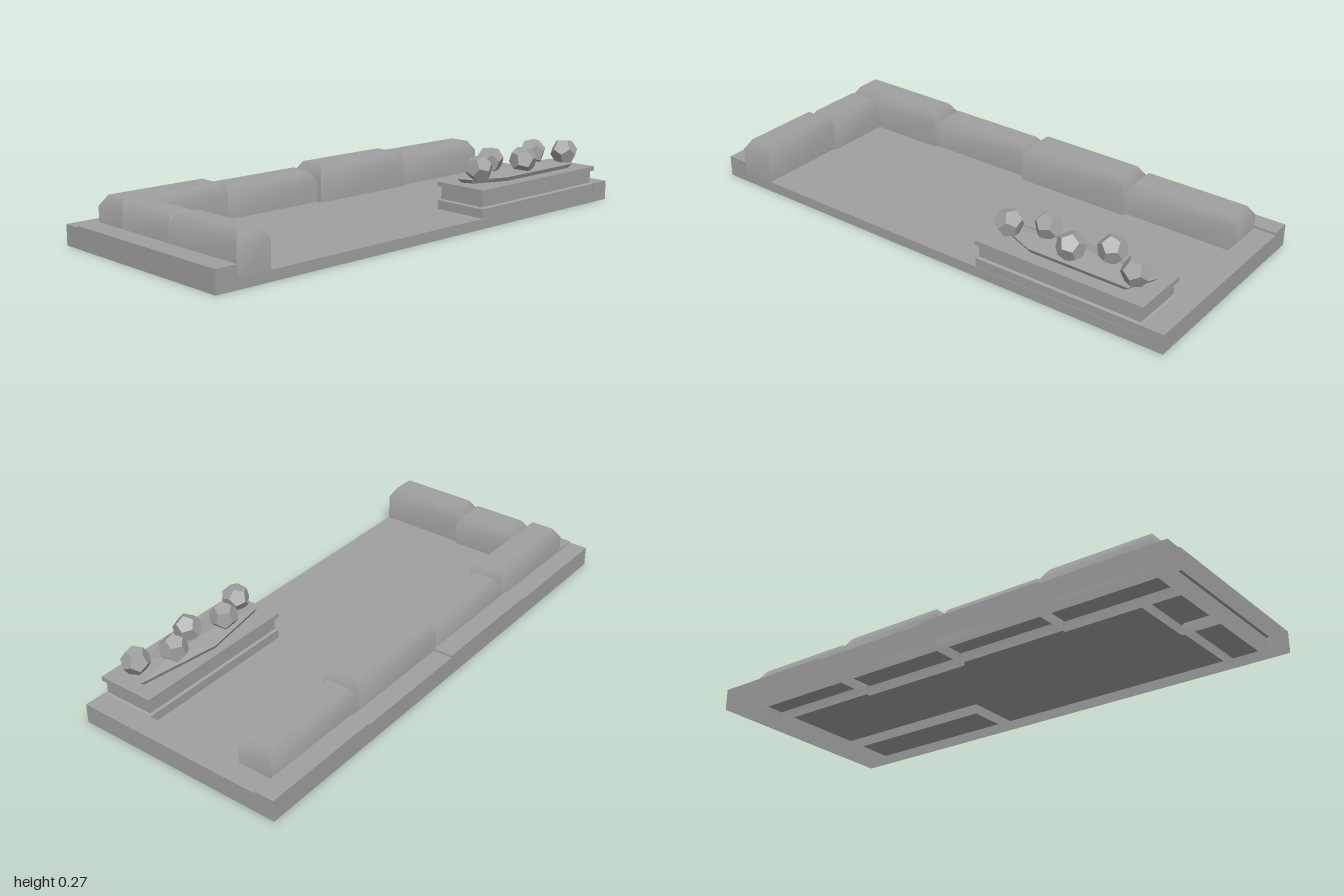
import * as THREE from 'three';
import { toCreasedNormals } from 'three/addons/utils/BufferGeometryUtils.js';
import { ConvexGeometry } from 'three/addons/geometries/ConvexGeometry.js';

const stone = new THREE.MeshStandardMaterial({ color: 0xa0a0a0, side: THREE.DoubleSide });
stone.name = 'grey stone';

// Stacked rectangular rings, open below and capped on top; profile = [y, inset]
function shell([x0, x1, z0, z1], profile) {
  const pos = [], index = [];
  for (const [y, i] of profile) {
    pos.push(x0 + i, y, z1 - i, x1 - i, y, z1 - i, x1 - i, y, z0 + i, x0 + i, y, z0 + i);
  }
  for (let r = 0; r < profile.length - 1; r++) {
    for (let k = 0; k < 4; k++) {
      const a = r * 4 + k, b = r * 4 + (k + 1) % 4;
      index.push(a, b, b + 4, a, b + 4, a + 4);
    }
  }
  const t = (profile.length - 1) * 4;
  index.push(t, t + 1, t + 2, t, t + 2, t + 3);
  const g = new THREE.BufferGeometry();
  g.setAttribute('position', new THREE.Float32BufferAttribute(pos, 3));
  g.setIndex(index);
  return toCreasedNormals(g, 0.7);
}

export function createModel() {
  const model = new THREE.Group();
  const add = (name, geometry, parent = model) => {
    const mesh = new THREE.Mesh(geometry, stone);
    mesh.name = name;
    parent.add(mesh);
    return mesh;
  };

  // Thin floor and low front wall, hollow underneath
  const floor = add('floor', new THREE.PlaneGeometry(1.83, 0.77).rotateX(-Math.PI / 2));
  floor.position.set(0, 0.04, 0.04);
  add('frontWall', new THREE.PlaneGeometry(2, 0.04)).position.set(0, 0.02, 0.425);

  // Outer rim, with slightly uneven back slabs
  add('leftRim', shell([0.915, 1, -0.348, 0.425], [[0, 0], [0.076, 0]]));
  add('rightRim', shell([-1, -0.915, -0.348, 0.425], [[0, 0], [0.084, 0]]));
  [0.078, 0.085, 0.077, 0.085].forEach((h, i) => {
    add('backRim', shell([-1 + i * 0.5, -0.5 + i * 0.5, -0.425, -0.348], [[0, 0], [h, 0]]));
  });

  // Bevelled wall blocks: bounds and top height
  const blocks = [
    [[-0.915, -0.458, -0.348, -0.2], 0.183],
    [[-0.458, -0.01, -0.348, -0.213], 0.165],
    [[-0.01, 0.455, -0.348, -0.19], 0.184],
    [[0.455, 0.915, -0.348, -0.207], 0.172],
    [[-0.915, -0.765, -0.2, 0.067], 0.172],
    [[-0.915, -0.777, 0.06, 0.424], 0.183],
  ];
  for (const [bounds, top] of blocks) {
    add('wallBlock', shell(bounds, [[0, 0], [top - 0.04, 0], [top, 0.026]]));
  }

  // Planter with foot, recessed body and cap
  const planter = new THREE.Group();
  planter.name = 'planter';
  model.add(planter);
  add('planterBox', shell([0.237, 0.917, 0.197, 0.425], [
    [0, 0.002], [0.075, 0.002], [0.08, 0.011], [0.129, 0.011], [0.13, 0], [0.147, 0],
  ]), planter);

  // Irregular soil slab
  const outline = [[0.27, 0.27], [0.55, 0.222], [0.88, 0.27], [0.83, 0.38], [0.43, 0.38], [0.29, 0.32]];
  const soil = [];
  for (const [x, z] of outline) {
    soil.push(new THREE.Vector3(x, 0.163, z));
    soil.push(new THREE.Vector3(0.575 + (x - 0.575) * 0.94, 0.147, 0.305 + (z - 0.305) * 0.9));
  }
  soil.push(new THREE.Vector3(0.45, 0.18, 0.29), new THREE.Vector3(0.7, 0.18, 0.29));
  add('soil', new ConvexGeometry(soil), planter);

  // Faceted shrubs in a zigzag row
  for (let i = 0; i < 5; i++) {
    const back = i % 2;
    const shrub = add('shrub', new THREE.DodecahedronGeometry(0.054), planter);
    shrub.position.set(0.317 + i * 0.129, back ? 0.214 : 0.206, back ? 0.277 : 0.335);
    shrub.rotation.set(0.4 + i * 0.7, i * 1.3, 0.3 + i * 0.5);
  }
  return model;
}
